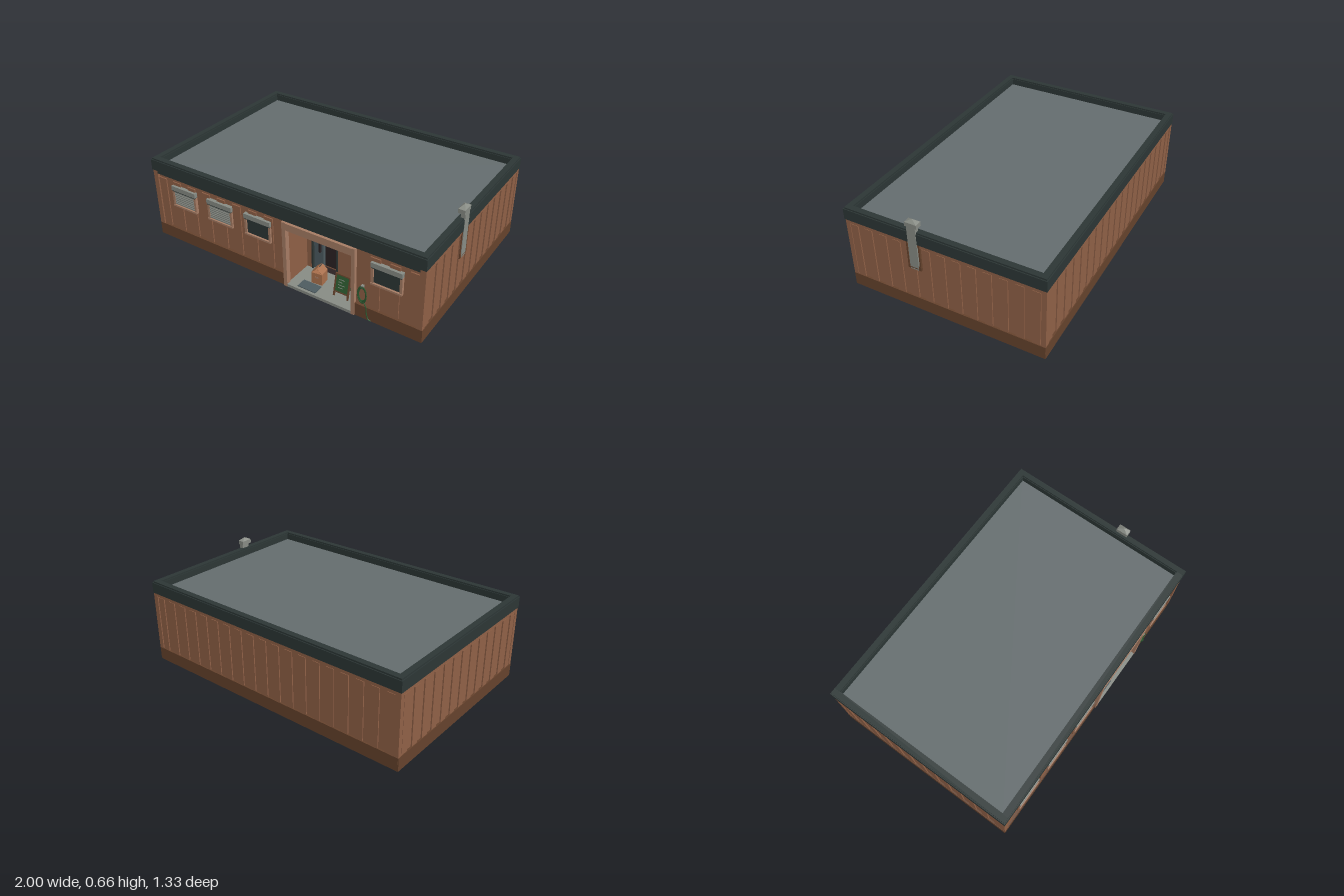
import * as THREE from 'three';

const mat = (name, color, extra = {}) => {
  const m = new THREE.MeshStandardMaterial({ color, ...extra });
  m.name = name;
  return m;
};

export function createModel() {
  const M = {
    wall: mat('wall brown', 0x8f6046),
    base: mat('plinth brown', 0x65422c),
    trim: mat('light timber', 0xa67c64),
    dark: mat('dark slate', 0x2c3635),
    roof: mat('roof grey', 0x646c6e),
    metal: mat('pale metal', 0x878b84),
    door: mat('door grey', 0x4d5b60),
    inside: mat('dark interior', 0x2b2223),
    green: mat('green', 0x2d5a30),
    card: mat('cardboard', 0xa86f4b, { side: THREE.DoubleSide }),
  };
  const model = new THREE.Group();
  const add = (name, geo, m, parent = model) => {
    const mesh = new THREE.Mesh(geo, m);
    mesh.name = name;
    parent.add(mesh);
    return mesh;
  };
  // Box given by its minimum and maximum on each axis
  const box = (name, m, x0, x1, y0, y1, z0, z1, parent = model) => {
    const mesh = add(name, new THREE.BoxGeometry(x1 - x0, y1 - y0, z1 - z0), m, parent);
    mesh.position.set((x0 + x1) / 2, (y0 + y1) / 2, (z0 + z1) / 2);
    return mesh;
  };
  const group = (name, x = 0, y = 0, z = 0) => {
    const g = new THREE.Group();
    g.name = name;
    g.position.set(x, y, z);
    model.add(g);
    return g;
  };

  // Floor plan with porch and doorway notches, raised to the roof
  const plan = [[-0.985, 0.65], [0.985, 0.65], [0.985, -0.64], [0.54, -0.64], [0.54, -0.44], [0.3, -0.44],
    [0.3, -0.37], [0.11, -0.37], [0.11, -0.44], [0.07, -0.44], [0.07, -0.64], [-0.985, -0.64]];
  const shape = new THREE.Shape(plan.map(p => new THREE.Vector2(...p)));
  const walls = new THREE.ExtrudeGeometry(shape, { depth: 0.495, bevelEnabled: false });
  walls.rotateX(-Math.PI / 2).translate(0, 0.005, 0);
  add('walls', walls, M.wall);
  box('underside', M.inside, -0.99, 0.99, 0, 0.006, -0.655, 0.65);
  box('porchCeiling', M.wall, 0.07, 0.54, 0.42, 0.5, 0.44, 0.645);
  box('wallAboveDoor', M.wall, 0.11, 0.3, 0.39, 0.42, 0.37, 0.44);

  // Plinth, corner posts and top band
  for (const s of [-1, 1]) {
    box('sidePlinth', M.base, s * 0.99 - 0.007, s * 0.99 + 0.007, 0, 0.088, -0.66, 0.657);
    box('sideTopBand', M.wall, s * 0.988 - 0.007, s * 0.988 + 0.007, 0.478, 0.5, -0.66, 0.655);
    for (const z of [-0.647, 0.643])
      box('cornerPost', M.wall, s * 0.977 - 0.018, s * 0.977 + 0.018, 0.088, 0.5, z - 0.015, z + 0.015);
  }
  box('backPlinth', M.base, -0.99, 0.99, 0, 0.088, -0.662, -0.648);
  box('backTopBand', M.wall, -0.96, 0.96, 0.478, 0.5, -0.66, -0.648);
  box('frontPlinth', M.base, -0.99, 0.05, 0, 0.088, 0.635, 0.657);
  box('frontPlinth', M.base, 0.555, 0.99, 0, 0.088, 0.635, 0.657);
  box('frontSoffit', M.dark, -0.96, 0.96, 0.477, 0.502, 0.635, 0.658);

  // Raised cladding boards
  for (let x = -0.93; x < 0.94; x += 0.1033) {
    box('backBoard', M.wall, x - 0.027, x + 0.027, 0.085, 0.473, -0.657, -0.648);
  }
  for (let x = -0.93; x < 0.95; x += 0.124) {
    if (x > 0.01 && x < 0.6) continue;
    box('frontBoard', M.wall, x - 0.032, x + 0.032, 0.09, 0.448, 0.638, 0.648);
  }
  for (const s of [-1, 1])
    for (let z = -0.6; z < 0.61; z += 0.1)
      box('sideBoard', M.wall, s * 0.988 - 0.005, s * 0.988 + 0.005, 0.085, 0.473, z - 0.026, z + 0.026);

  // Flat roof with parapet and narrower coping
  box('roofDeck', M.roof, -0.96, 0.96, 0.5, 0.53, -0.625, 0.625);
  const rim = (name, ox, oz, ix, iz, y0, y1) => {
    for (const s of [-1, 1]) {
      box(name, M.dark, Math.min(s * ox, s * ix), Math.max(s * ox, s * ix), y0, y1, -oz, oz);
      box(name, M.dark, -ix, ix, y0, y1, Math.min(s * oz, s * iz), Math.max(s * oz, s * iz));
    }
  };
  rim('parapet', 0.998, 0.664, 0.95, 0.615, 0.5, 0.573);
  rim('coping', 0.992, 0.658, 0.955, 0.62, 0.573, 0.583);

  // Windows with roller boxes, two of them shuttered
  [[-0.74, true], [-0.44, true], [-0.14, false], [0.76, false]].forEach(([x, shut]) => {
    const w = group('window', x, 0, 0);
    box('windowPane', M.dark, -0.09, 0.09, 0.285, 0.39, 0.642, 0.651, w);
    for (const s of [-1, 1])
      box('windowJamb', M.trim, s * 0.092 - 0.008, s * 0.092 + 0.008, 0.28, 0.39, 0.64, 0.66, w);
    box('windowSill', M.trim, -0.1, 0.1, 0.274, 0.286, 0.64, 0.664, w);
    box('rollerBox', M.metal, -0.1, 0.1, 0.394, 0.426, 0.64, 0.665, w);
    box('rollerLip', M.dark, -0.098, 0.098, 0.386, 0.394, 0.64, 0.661, w);
    if (shut) for (let i = 0; i < 7; i++) {
      const y = 0.289 + i * 0.014;
      box('shutterSlat', M.metal, -0.084, 0.084, y, y + 0.01, 0.645, 0.657, w);
    }
  });

  // Porch frame and slab
  box('porchPost', M.trim, 0.05, 0.076, 0, 0.47, 0.63, 0.664);
  box('porchPost', M.trim, 0.534, 0.558, 0, 0.47, 0.63, 0.664);
  box('porchLintel', M.trim, 0.05, 0.558, 0.42, 0.467, 0.63, 0.665);
  box('porchRail', M.trim, 0.076, 0.534, 0.41, 0.418, 0.63, 0.655);
  box('porchSlab', M.metal, 0.07, 0.54, 0, 0.02, 0.43, 0.663);
  box('doorMat', M.door, 0.14, 0.27, 0.02, 0.025, 0.575, 0.645);
  box('porchLamp', M.metal, 0.08, 0.093, 0.355, 0.385, 0.44, 0.455);

  // Doorway with a partly open leaf
  box('doorwayDark', M.inside, 0.11, 0.3, 0.02, 0.39, 0.37, 0.376);
  box('doorFrame', M.dark, 0.108, 0.118, 0.02, 0.392, 0.42, 0.447);
  box('doorFrame', M.dark, 0.292, 0.302, 0.02, 0.392, 0.42, 0.447);
  box('doorFrame', M.dark, 0.108, 0.302, 0.382, 0.392, 0.42, 0.447);
  box('doorLeaf', M.door, 0.118, 0.188, 0.022, 0.382, 0.41, 0.43);
  box('doorHandle', M.inside, 0.162, 0.172, 0.16, 0.25, 0.43, 0.445);

  // Open cardboard box
  const carton = group('cardboardBox', 0.225, 0.02, 0.53);
  carton.rotation.y = 0.1;
  box('cartonBody', M.card, -0.037, 0.037, 0, 0.08, -0.035, 0.035, carton);
  box('cartonTape', M.trim, -0.012, 0.012, 0.045, 0.055, 0.035, 0.037, carton);
  for (const s of [-1, 1]) {
    const flap = box('cartonFlap', M.card, -0.022, 0.022, -0.001, 0.001, -0.035, 0.035, carton);
    flap.position.set(s * 0.02, 0.097, 0);
    flap.rotation.z = -s * 0.75;
  }

  // Folding chalkboard
  const board = group('chalkboard', 0.42, 0.02, 0.56);
  for (const s of [1, -1]) {
    const leaf = new THREE.Group();
    leaf.name = 'chalkboardLeaf';
    leaf.rotation.set(-0.22, 0, 0);
    leaf.position.z = 0.033;
    const half = new THREE.Group();
    half.name = 'chalkboardHalf';
    half.rotation.y = s > 0 ? 0 : Math.PI;
    half.add(leaf);
    board.add(half);
    box('chalkPanel', M.green, -0.046, 0.046, 0.035, 0.145, -0.004, 0.003, leaf);
    for (const t of [-1, 1])
      box('chalkboardLeg', M.base, t * 0.048 - 0.005, t * 0.048 + 0.005, 0, 0.15, -0.005, 0.005, leaf);
    box('chalkboardRail', M.base, -0.048, 0.048, 0.028, 0.036, -0.005, 0.005, leaf);
    box('chalkboardRail', M.base, -0.048, 0.048, 0.143, 0.15, -0.005, 0.005, leaf);
    if (s > 0) [0.02, 0.026, 0.016, 0.024].forEach((w, i) =>
      box('chalkMark', M.metal, -0.026, -0.026 + w * 1.7, 0.06 + i * 0.018, 0.064 + i * 0.018, 0.003, 0.0045, leaf));
  }

  // Coiled garden hose with its tail on the ground
  const hose = group('gardenHose', 0.607, 0.17, 0.656);
  [0.024, 0.029].forEach((r, i) => {
    const coil = add('hoseCoil', new THREE.TorusGeometry(r, 0.0035, 6, 28), M.green, hose);
    coil.scale.y = 1.95;
    coil.position.z = i * 0.003;
  });
  const tail = new THREE.CatmullRomCurve3([[0.012, -0.045], [0.028, -0.08], [0.033, -0.125], [0.045, -0.16], [0.062, -0.166]]
    .map(([x, y]) => new THREE.Vector3(x, y, 0.004)));
  add('hoseTail', new THREE.TubeGeometry(tail, 20, 0.0035, 6), M.green, hose);
  box('hoseHook', M.metal, -0.008, 0.008, 0.05, 0.066, -0.012, 0.006, hose);

  // Flue on the side wall with a pitched cap
  const flue = group('flue', 0, 0, 0.18);
  box('fluePipe', M.metal, 0.972, 1, 0.325, 0.62, -0.03, 0.03, flue);
  box('flueCap', M.metal, 0.956, 1, 0.612, 0.64, -0.04, 0.04, flue);
  const peak = add('fluePeak', new THREE.ConeGeometry(Math.SQRT1_2, 0.02, 4, 1).rotateY(Math.PI / 4).toNonIndexed(), M.metal, flue);
  peak.geometry.computeVertexNormals();
  peak.scale.set(0.044, 1, 0.08);
  peak.position.set(0.978, 0.65, 0);
  box('flueBracket', M.base, 0.975, 0.999, 0.312, 0.342, -0.045, 0.045, flue);
  box('flueOutlet', M.metal, 0.975, 0.9995, 0.31, 0.318, -0.027, 0.027, flue);
  for (const s of [-1, 1])
    box('flueSurround', M.base, 0.98, 0.998, 0.312, 0.5, s * 0.04 - 0.005, s * 0.04 + 0.005, flue);

  return model;
}
